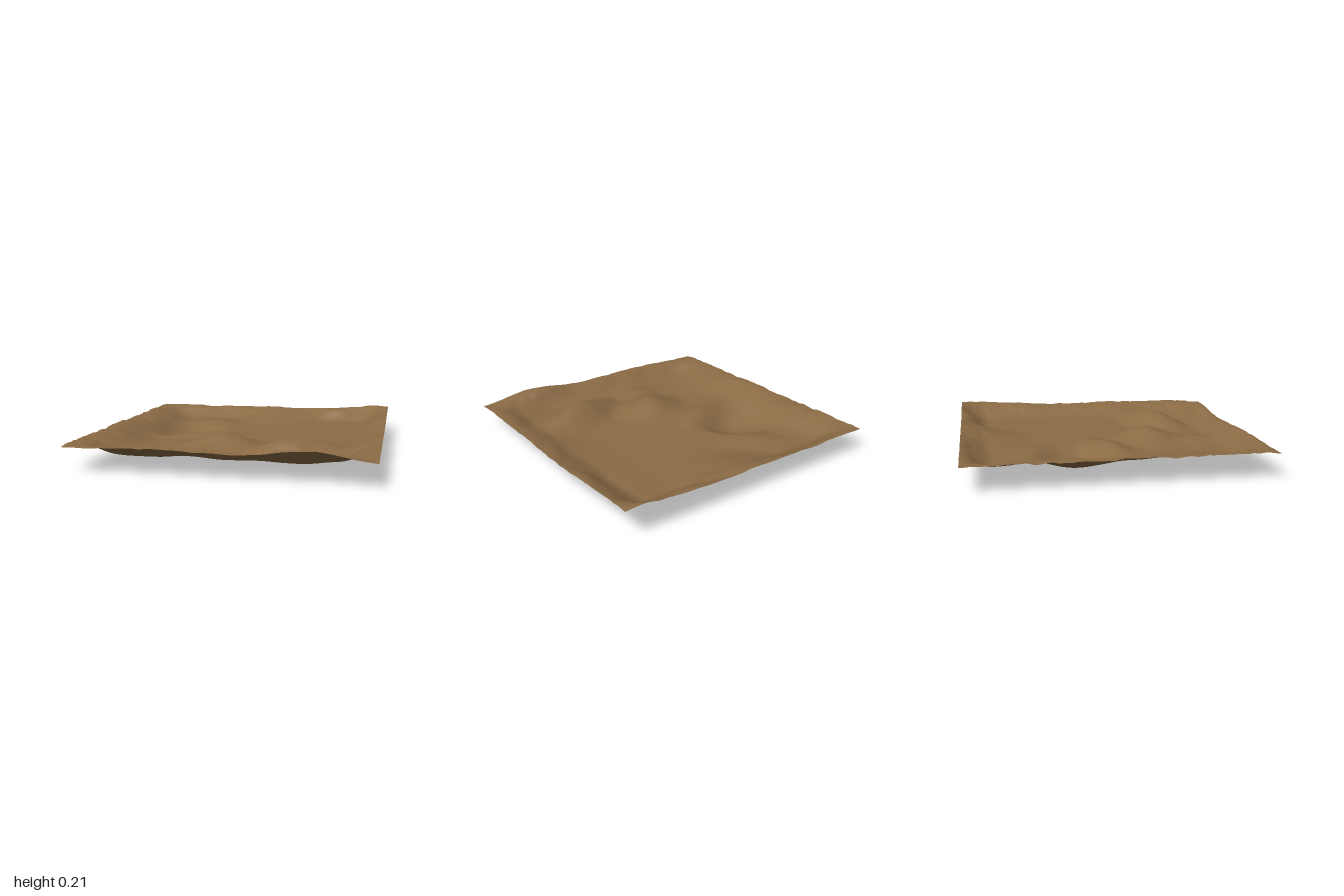
import * as THREE from 'three';

const { lerp } = THREE.MathUtils;
const smooth = (a, b, v) => THREE.MathUtils.smoothstep(v, a, b);

// Rounded mound, 1 at its centre and 0 outside the ellipse
function mound(x, z, cx, cz, rx, rz, angle = 0) {
  const c = Math.cos(angle), s = Math.sin(angle);
  const u = ((x - cx) * c + (z - cz) * s) / rx;
  const v = ((z - cz) * c - (x - cx) * s) / rz;
  return 1 - smooth(0, 1, Math.hypot(u, v));
}

// Seeded value noise
function hash(i, j) {
  const n = Math.sin(i * 127.1 + j * 311.7) * 43758.5453;
  return n - Math.floor(n);
}
function noise(x, z) {
  const i = Math.floor(x), j = Math.floor(z);
  const u = smooth(0, 1, x - i), v = smooth(0, 1, z - j);
  return lerp(lerp(hash(i, j), hash(i + 1, j), u), lerp(hash(i, j + 1), hash(i + 1, j + 1), u), v) - 0.5;
}

// Raised land: centre x, z, radius x, z, height, angle
const LAND = [
  [0.07, -0.95, 0.46, 0.48, 0.07, 0],      // back headland
  [0.32, -0.85, 0.15, 0.12, 0.015, 0],     // knoll on the headland
  [-0.98, -0.4, 0.42, 0.5, 0.06, 0],       // left bank
  [-0.95, 0.5, 0.44, 0.55, 0.06, 0],       // left front bank
  [-0.36, -0.56, 0.34, 0.2, 0.025, 0.7],   // brow above the pit
  [-0.36, 0.0, 0.36, 0.19, 0.045, -0.3],   // saddle in front of the pit
  [-0.1, 0.34, 0.36, 0.3, 0.085, -0.15],   // middle hill
  [-0.2, 0.68, 0.25, 0.25, 0.025, 0],      // shoulder of the middle hill
  [0.43, 0.52, 0.5, 0.26, 0.11, -0.38],    // front hill
  [1.0, 0.25, 0.4, 0.6, 0.05, 0],          // right bank
  [0.92, 0.82, 0.4, 0.35, 0.03, 0],        // front corner bank
];

function height(x, z) {
  // Border height varies around the sheet
  const rim = 0.165
    + 0.04 * mound(x, z, 0.55, 1, 0.42, 0.3)
    + 0.04 * mound(x, z, 1, -1, 0.7, 0.8)
    - 0.012 * mound(x, z, 1, 1, 0.25, 0.3);
  let h = 0.079 + 0.006 * smooth(0.5, 0.7, x);
  for (const [cx, cz, rx, rz, up, a] of LAND) h += up * mound(x, z, cx, cz, rx, rz, a);

  // Deep pit, steep on its back right side and easing toward the front left
  const across = (x + 0.47) - (z + 0.25);
  h -= 0.084 * mound(x, z, -0.47, -0.25, across > 0 ? 0.25 : 0.42, 0.38, -Math.PI / 4);

  // Slopes up to the four borders, meeting in rounded corners
  const wobble = 0.06 * noise(x * 4, z * 4);
  const keep = smooth(0, 0.32, x + 1 + wobble) * smooth(0, 0.24, 1 - x + wobble)
    * smooth(0, 0.2, z + 1 + wobble) * smooth(0, 0.23, 1 - z + wobble);
  h = lerp(rim, h, keep);

  // Fine ripples on the high ground
  const rough = smooth(0.1, 0.16, h);
  return h + rough * (0.014 * noise(x * 7 + 9, z * 13) + 0.006 * noise(x * 17, z * 27 + 5));
}

export function createModel() {
  const group = new THREE.Group();
  group.name = 'terrain';
  const earth = new THREE.MeshStandardMaterial({ color: 0x8b6b45, side: THREE.DoubleSide });
  earth.name = 'brown earth';

  // Ground sheet shaped by the height rule
  const sheet = new THREE.PlaneGeometry(2, 2, 140, 140);
  sheet.rotateX(-Math.PI / 2);
  const p = sheet.attributes.position;
  for (let i = 0; i < p.count; i++) p.setY(i, height(p.getX(i), p.getZ(i)));
  sheet.computeBoundingBox();
  sheet.translate(0, -sheet.boundingBox.min.y, 0);
  sheet.computeVertexNormals();

  const ground = new THREE.Mesh(sheet, earth);
  ground.name = 'ground';
  group.add(ground);
  return group;
}
